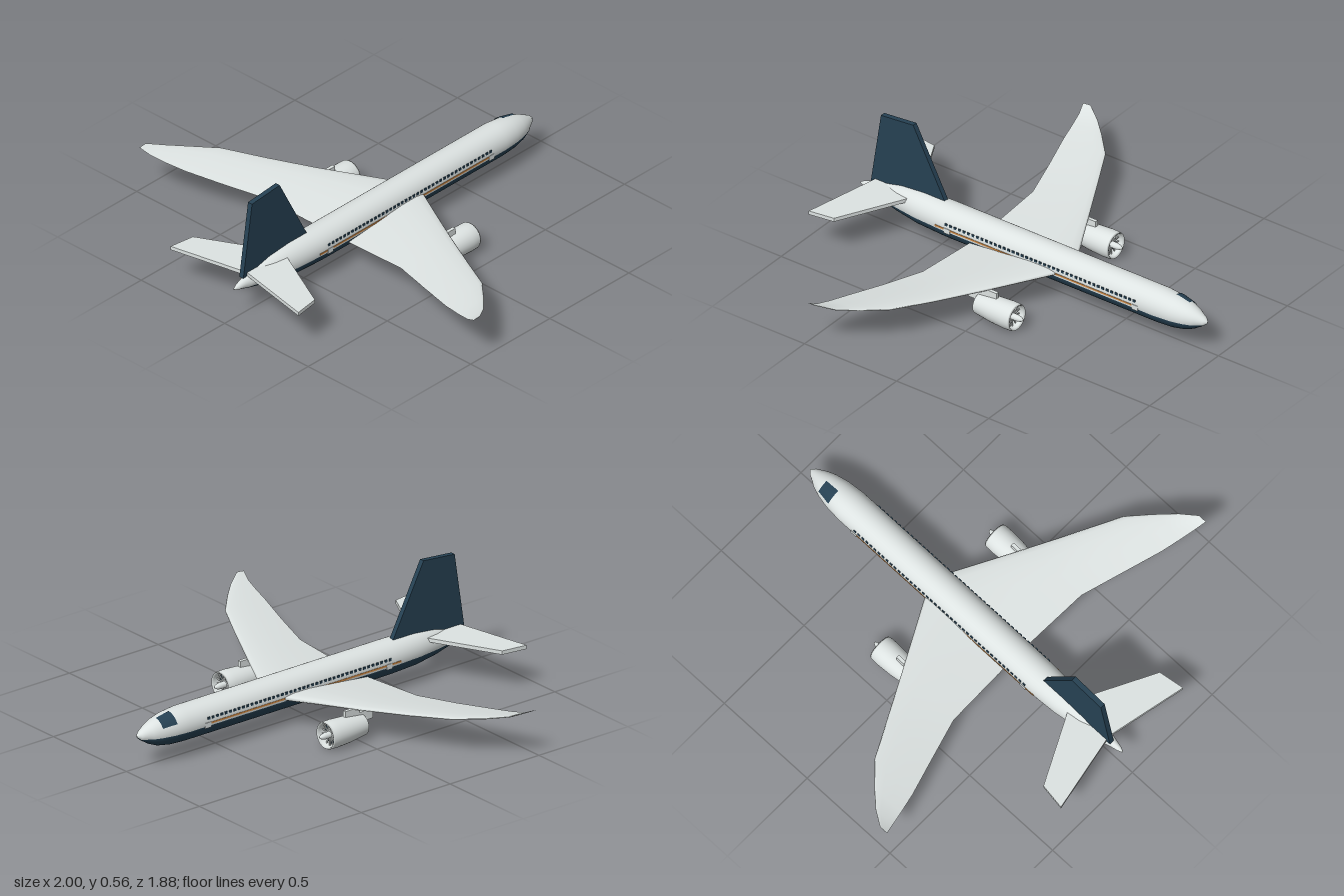
import * as THREE from 'three';

const mat = (name, color) => {
  const m = new THREE.MeshStandardMaterial({ color, side: THREE.DoubleSide });
  m.name = name;
  return m;
};

// Smooth surface through rows of points; split = column where the second material starts.
function loft(rows, closed, split) {
  const n = rows[0].length, cols = closed ? n : n - 1;
  const geo = new THREE.BufferGeometry(), first = [], second = [];
  for (let i = 0; i < rows.length - 1; i++) {
    for (let j = 0; j < cols; j++) {
      const k = (j + 1) % n, a = i * n + j, b = i * n + k, c = a + n, d = b + n;
      (split !== undefined && j >= split ? second : first).push(a, b, c, b, d, c);
    }
  }
  geo.setAttribute('position', new THREE.Float32BufferAttribute(rows.flat(2), 3));
  geo.setIndex([...first, ...second]);
  if (split !== undefined) {
    geo.addGroup(0, first.length, 0);
    geo.addGroup(first.length, second.length, 1);
  }
  geo.computeVertexNormals();
  return geo;
}

// Fuselage stations: z, centre y, half height, half width
const BODY = [
  [-0.942, 0.15, 0.003, 0.003], [-0.925, 0.15, 0.02, 0.02], [-0.88, 0.147, 0.046, 0.046],
  [-0.84, 0.147, 0.063, 0.06], [-0.78, 0.148, 0.0745, 0.073], [-0.7, 0.15, 0.08, 0.08],
  [0.45, 0.15, 0.08, 0.08], [0.6, 0.1525, 0.0775, 0.072], [0.72, 0.155, 0.064, 0.055],
  [0.86, 0.154, 0.031, 0.026], [0.92, 0.152, 0.014, 0.012], [0.942, 0.15, 0.003, 0.003],
];
function station(z) {
  let i = 0;
  while (i < BODY.length - 2 && BODY[i + 1][0] < z) i++;
  const t = (z - BODY[i][0]) / (BODY[i + 1][0] - BODY[i][0]);
  return BODY[i].map((v, k) => THREE.MathUtils.lerp(v, BODY[i + 1][k], t));
}
const around = ([z, cy, ry, rx], a, off = 0) =>
  [Math.cos(a) * (rx + off), cy + Math.sin(a) * (ry + off), z];

// Wing stations: x, leading z, trailing z, y, half thickness
const WING = [
  [0, -0.215, 0.295, 0.136, 0.022], [0.08, -0.176, 0.295, 0.137, 0.02],
  [0.4, -0.005, 0.307, 0.148, 0.013], [0.6, 0.1, 0.368, 0.16, 0.011],
  [0.78, 0.195, 0.425, 0.176, 0.009], [0.88, 0.29, 0.45, 0.187, 0.006],
  [0.95, 0.365, 0.467, 0.199, 0.004], [1, 0.44, 0.482, 0.221, 0.002], [1, 0.461, 0.461, 0.221, 0],
];
// Airfoil outline: chord fraction, height
const FOIL = [
  [0, 0], [0.02, 0.4], [0.1, 0.8], [0.3, 1], [0.6, 0.7], [1, 0.06],
  [1, -0.06], [0.6, -0.7], [0.3, -1], [0.1, -0.8], [0.02, -0.4],
];
function wingGeometry(side) {
  const rows = WING.map(([x, le, te, y, t]) => {
    const ring = FOIL.map(([c, h]) =>
      [x * side, y + h * t + (0.4 - c) * 0.05 * (te - le), le + c * (te - le)]);
    return side > 0 ? ring.reverse() : ring;
  });
  const geo = loft(rows, true);
  // Turn the faces outward if the order came out inward
  const p = geo.attributes.position, ix = geo.index.array;
  let volume = 0;
  const [a, b, c] = [0, 0, 0].map(() => new THREE.Vector3());
  for (let i = 0; i < ix.length; i += 3) {
    a.fromBufferAttribute(p, ix[i]); b.fromBufferAttribute(p, ix[i + 1]); c.fromBufferAttribute(p, ix[i + 2]);
    volume += a.dot(b.cross(c));
  }
  if (volume < 0) { ix.reverse(); geo.computeVertexNormals(); }
  return geo;
}

// Flat plate from an outline
function plate(points, depth) {
  const shape = new THREE.Shape(points.map(([x, y]) => new THREE.Vector2(x, y)));
  return new THREE.ExtrudeGeometry(shape, { depth, bevelEnabled: false });
}

// Surface of revolution along z from [radius, z] points
const turned = (points, seg = 32) =>
  new THREE.LatheGeometry(points.map(([r, z]) => new THREE.Vector2(r, z)), seg).rotateX(Math.PI / 2);

export function createModel() {
  const model = new THREE.Group();
  const white = mat('paleGrey', 0xdde3e2);
  const navy = mat('navy', 0x264153);
  const orange = mat('orange', 0xd08a45);
  const add = (parent, name, geo, material, x = 0, y = 0, z = 0) => {
    const m = new THREE.Mesh(geo, material);
    m.name = name;
    m.position.set(x, y, z);
    parent.add(m);
    return m;
  };

  // Fuselage, navy below a level line
  const N = 24;
  const rows = BODY.map((s) => {
    const a0 = Math.asin(THREE.MathUtils.clamp((0.134 - s[1]) / s[2], -1, 1));
    const ring = [];
    for (let j = 0; j < N; j++) ring.push(around(s, a0 + (Math.PI - 2 * a0) * j / N));
    for (let j = 0; j < N; j++) ring.push(around(s, Math.PI - a0 + (Math.PI + 2 * a0) * j / N));
    return ring;
  });
  add(model, 'fuselage', loft(rows, true, N), [white, navy]);

  // Cockpit window, following the skin on one side
  const pane = [-0.84, -0.81, -0.78, -0.768].map((z) => {
    const s = station(z);
    return Array.from({ length: 11 }, (_, j) => around(s, 1.66 + j * 0.1, 0.003));
  });
  add(model, 'cockpitWindow', loft(pane, false), navy);

  // Fin and tailplane
  add(model, 'fin', plate([[0.48, 0.22], [0.885, 0.18], [0.83, 0.54], [0.655, 0.556]], 0.024)
    .rotateY(-Math.PI / 2), navy, 0.003);
  add(model, 'tailplane', plate([[0.04, 0.65], [0.365, 0.815], [0.383, 0.938], [0, 0.86],
    [-0.383, 0.938], [-0.365, 0.815], [-0.04, 0.65]], 0.018).rotateX(Math.PI / 2), white, 0, 0.2);

  const windowGeo = new THREE.BoxGeometry(0.006, 0.011, 0.013);
  const bladeGeo = new THREE.BoxGeometry(0.006, 0.04, 0.004).translate(0, 0.032, 0);
  const vaneGeo = new THREE.BoxGeometry(0.004, 0.018, 0.004).translate(0, 0.022, 0);
  const nacelleGeo = turned([[0.03, 0.005], [0.05, -0.12], [0.054, -0.168], [0.059, -0.178],
    [0.063, -0.17], [0.064, -0.13], [0.06, -0.06], [0.049, 0.03], [0.046, 0.03], [0.03, 0.005]]);
  const spinnerGeo = turned([[0.015, -0.14], [0.015, -0.18], [0.011, -0.197], [0.005, -0.207], [0, -0.209]], 16);
  const coneGeo = turned([[0.013, 0.0], [0.01, 0.02], [0, 0.04]], 16);

  for (const side of [1, -1]) {
    const label = side > 0 ? 'left' : 'right';
    add(model, label + 'Wing', wingGeometry(side), white);

    // Cabin windows, stripe and doors
    const trim = new THREE.Group();
    trim.name = label + 'Trim';
    model.add(trim);
    for (let i = 0; i < 43; i++) add(trim, 'cabinWindow', windowGeo, navy, side * 0.0772, 0.17, -0.6 + i * 0.0243);
    add(trim, 'stripe', new THREE.BoxGeometry(0.005, 0.008, 1.08), orange, side * 0.079, 0.147, -0.06);
    for (const z of [-0.605, 0.415]) {
      add(trim, 'door', new THREE.BoxGeometry(0.006, 0.025, 0.032), white, side * 0.079, 0.14, z);
    }

    // Engine with fan, spinner, exhaust and pylon
    const engine = new THREE.Group();
    engine.name = label + 'Engine';
    engine.position.set(side * 0.36, 0.065, 0);
    model.add(engine);
    add(engine, 'nacelle', nacelleGeo, white);
    add(engine, 'fanBacking', new THREE.CircleGeometry(0.0515, 32), navy, 0, 0, -0.135);
    add(engine, 'exhaustBacking', new THREE.CircleGeometry(0.031, 32), navy, 0, 0, 0.005);
    add(engine, 'spinner', spinnerGeo, white);
    add(engine, 'exhaustCone', coneGeo, white);
    for (let i = 0; i < 14; i++) {
      add(engine, 'fanBlade', bladeGeo, white, 0, 0, -0.15).rotation.z = i * Math.PI / 7;
    }
    for (let i = 0; i < 8; i++) {
      add(engine, 'exhaustVane', vaneGeo, white, 0, 0, 0.008).rotation.z = i * Math.PI / 4;
    }
    add(engine, 'pylon', new THREE.BoxGeometry(0.016, 0.045, 0.155), white, 0, 0.04, 0.0075);
    add(engine, 'pylonTop', new THREE.BoxGeometry(0.016, 0.03, 0.08), white, 0, 0.073, -0.03);
  }
  return model;
}
